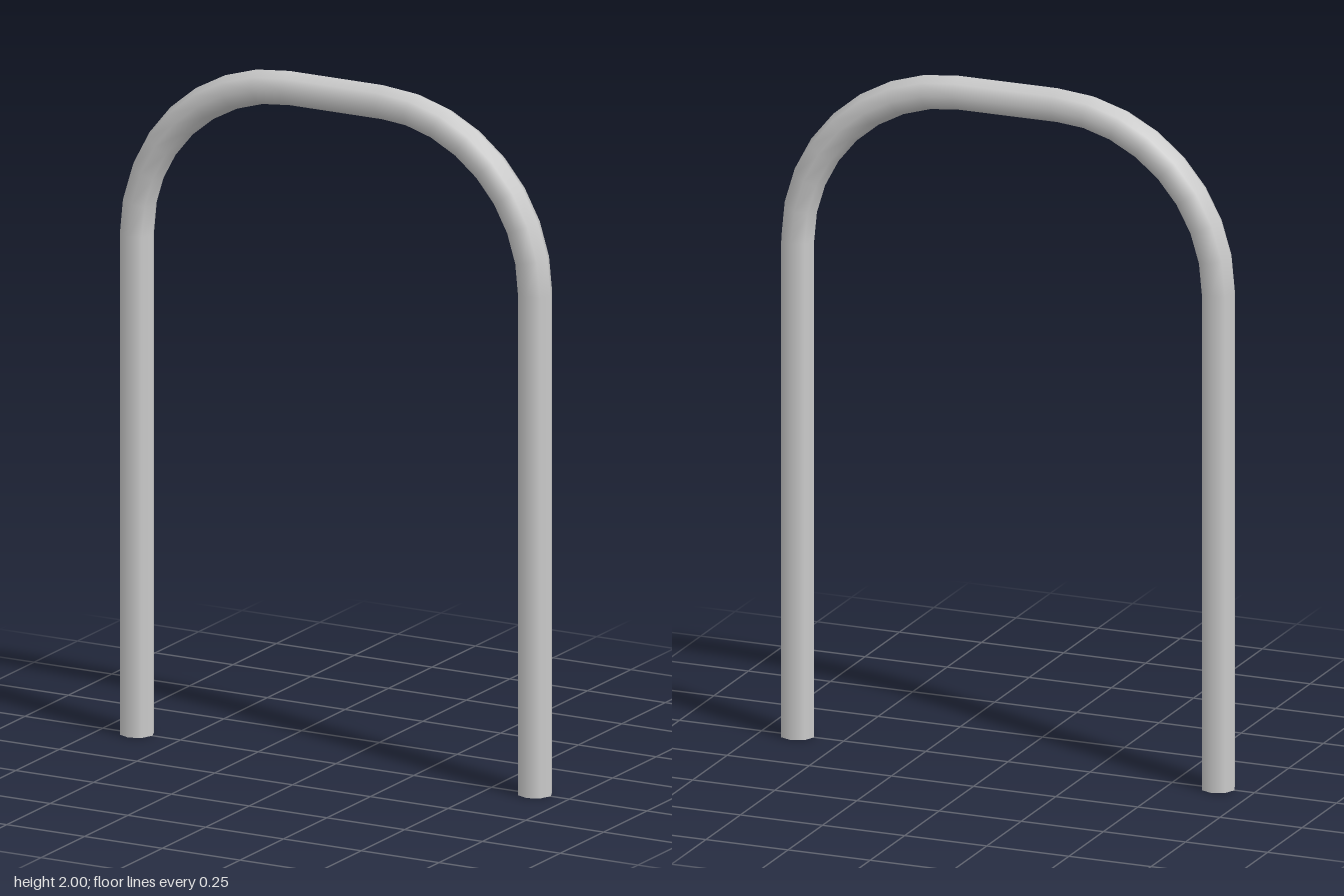
import * as THREE from 'three';

const R = 0.05;      // pipe radius
const LEG_X = 0.64;  // leg centre line
const BEND = 0.49;   // bend radius of the centre line
const TOP_Y = 1.95;  // centre line of the top rail
const STEPS = 8;     // segments per bend

// Stations along the pipe: centre point and turning angle
function stations() {
  const list = [{ x: -LEG_X, y: 0, a: 0 }];
  for (const side of [-1, 1]) {
    for (let i = 0; i <= STEPS; i++) {
      const a = (i / STEPS + (side > 0 ? 1 : 0)) * Math.PI / 2;
      list.push({
        x: side * (LEG_X - BEND) - BEND * Math.cos(a),
        y: TOP_Y - BEND + BEND * Math.sin(a),
        a,
      });
    }
  }
  list.push({ x: LEG_X, y: 0, a: Math.PI });
  return list;
}

// Capped straight cylinder whose rings are moved onto the stations
function bentPipe() {
  const path = stations();
  const n = path.length - 1;
  const geo = new THREE.CylinderGeometry(R, R, n, 8, n);
  const pos = geo.attributes.position;
  const nor = geo.attributes.normal;
  const axis = new THREE.Vector3(0, 0, 1);
  const v = new THREE.Vector3();
  for (let i = 0; i < pos.count; i++) {
    const s = path[Math.round(pos.getY(i) + n / 2)];
    v.set(pos.getX(i), 0, pos.getZ(i)).applyAxisAngle(axis, -s.a);
    pos.setXYZ(i, s.x + v.x, s.y + v.y, v.z);
    v.fromBufferAttribute(nor, i).applyAxisAngle(axis, -s.a);
    nor.setXYZ(i, v.x, v.y, v.z);
  }
  return geo;
}

export function createModel() {
  const group = new THREE.Group();
  group.name = 'hoopStand';
  const pipe = new THREE.Mesh(bentPipe(), new THREE.MeshStandardMaterial({ color: 0xcccccc }));
  pipe.name = 'bentPipe';
  group.add(pipe);
  return group;
}
